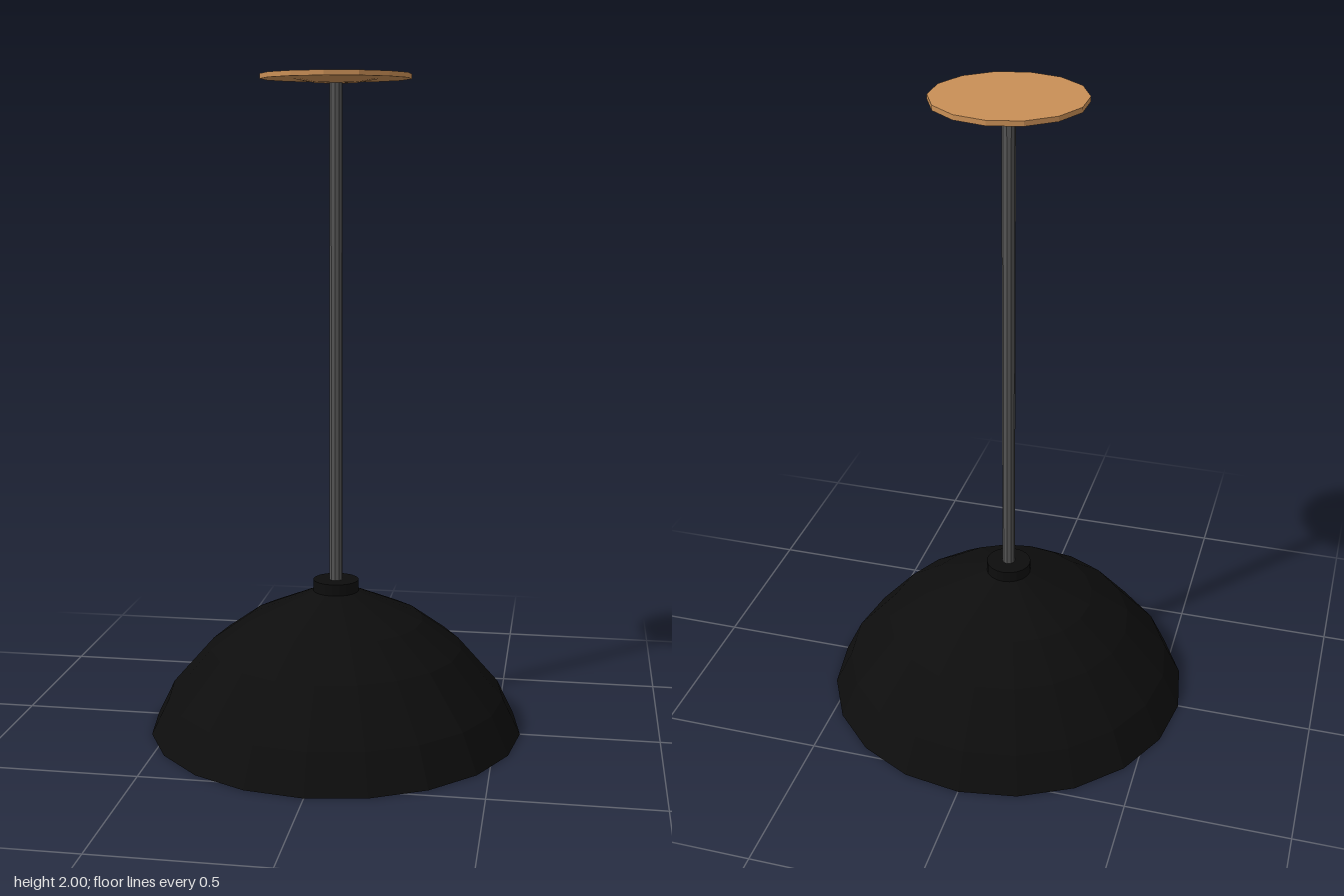
import * as THREE from 'three';

const material = (name, color) => {
  const m = new THREE.MeshStandardMaterial({ color, flatShading: true });
  m.name = name;
  return m;
};

export function createModel() {
  const black = material('black', 0x0d0d0d);
  const grey = material('grey', 0x555555);
  const wood = material('wood', 0xc98f56);
  const yellow = material('bulbYellow', 0xdcc65a);

  const lamp = new THREE.Group();
  lamp.name = 'pendantLamp';

  const add = (name, geometry, mat, y = 0) => {
    const mesh = new THREE.Mesh(geometry, mat);
    mesh.name = name;
    mesh.position.y = y;
    lamp.add(mesh);
  };
  // Profile points run from bottom to top on the outside
  const lathe = (points, sides) =>
    new THREE.LatheGeometry(points.map(([x, y]) => new THREE.Vector2(x, y)), sides);

  // Domed shade: inner wall down to the rim, then up the outside
  add('shade', lathe([
    [0, 0.42], [0.07, 0.42], [0.263, 0.333], [0.379, 0.25], [0.507, 0.105], [0.56, 0],
    [0.575, 0], [0.52, 0.113], [0.39, 0.262], [0.27, 0.348], [0.07, 0.435], [0, 0.435],
  ], 20), black);

  // Collar where the rod enters the shade
  add('collar', new THREE.CylinderGeometry(0.07, 0.07, 0.05, 20), black, 0.445);

  // Hanging rod
  add('rod', new THREE.CylinderGeometry(0.02, 0.02, 1.53, 10), grey, 1.215);

  // Ceiling plate with a shallow raised centre underneath
  add('ceilingPlate', lathe([
    [0, 1.974], [0.07, 1.975], [0.125, 1.985], [0.224, 1.985], [0.224, 2], [0, 2],
  ], 14), wood);

  // Bulb and its socket inside the shade
  add('socket', new THREE.CylinderGeometry(0.045, 0.045, 0.12, 12), black, 0.365);
  add('bulb', new THREE.SphereGeometry(0.118, 20, 14), yellow, 0.21);

  return lamp;
}
